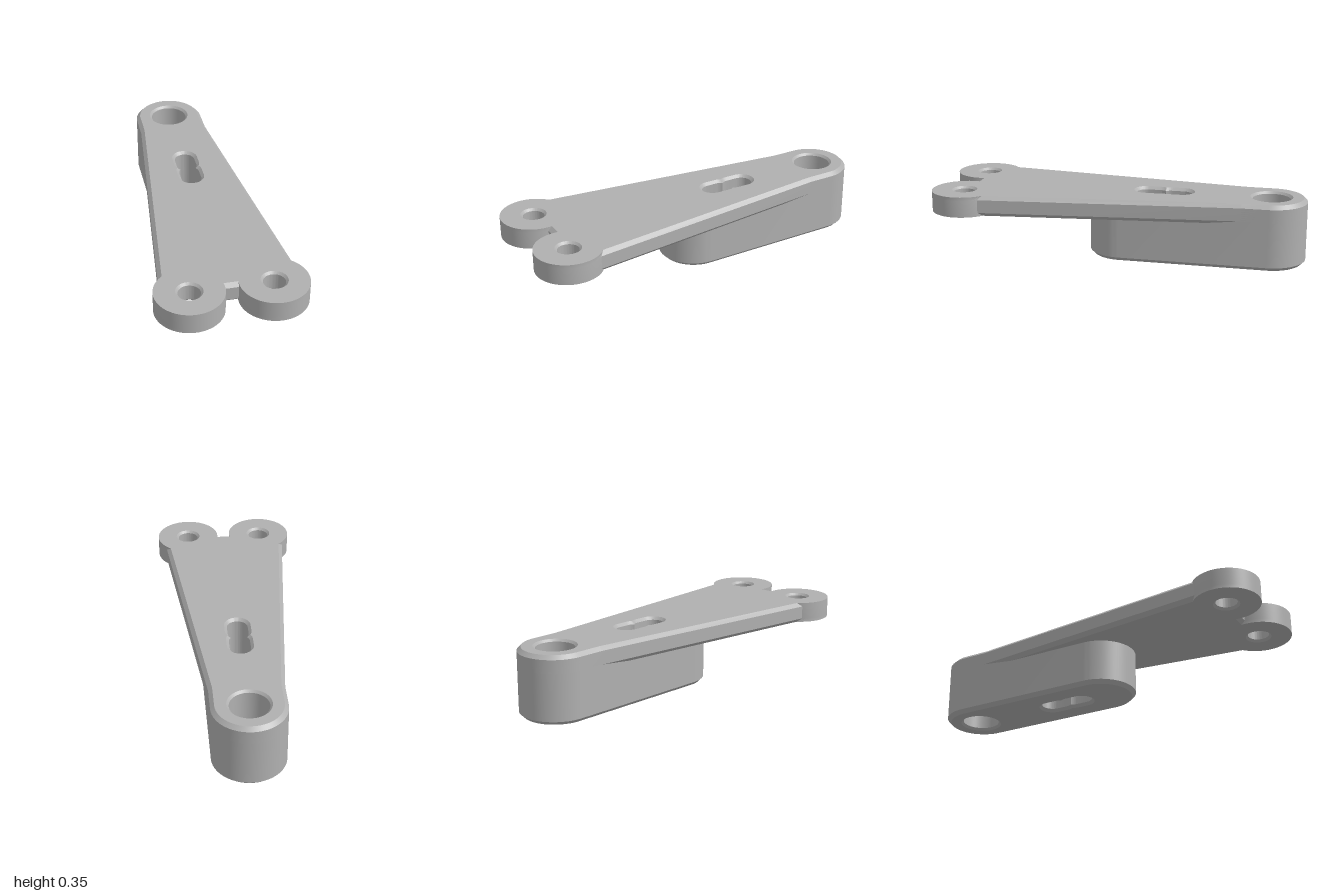
import * as THREE from 'three';
import { toCreasedNormals } from 'three/addons/utils/BufferGeometryUtils.js';

const { ShapeUtils, Vector2 } = THREE;
const PLATE_BOTTOM = 0.245, PLATE_TOP = 0.355, BEVEL = 0.02;
const END_R = 0.19, END_Z = -0.81;

// Points of an arc in the x/z plane
function arc(cx, cz, r, from, to, n = 32) {
  const pts = [];
  for (let i = 0; i <= n; i++) {
    const a = from + (to - from) * i / n;
    pts.push(new Vector2(cx + r * Math.cos(a), cz + r * Math.sin(a)));
  }
  return pts;
}

// Outlines: each takes a chamfer offset d (outer edges shrink, holes grow)
const roundHole = (x, z, r) => d => arc(x, z, r + d, 0, Math.PI * 2, 56).slice(0, -1);

// Two overlapping rounded lobes with a pinched waist
const pinchedSlot = d => {
  const r = 0.055 + d, mid = -0.235, gap = 0.035, far = 0.095;
  const a = Math.acos(gap / r), half = Math.PI / 2;
  const lobe = s => [
    ...arc(0, mid + s * gap, r, -s * half + s * a, 0, 8),
    ...arc(0, mid + s * far, r, 0, s * Math.PI, 28),
    ...arc(0, mid + s * gap, r, s * Math.PI, s * (Math.PI + half - a), 8),
  ];
  return [...lobe(1), ...lobe(-1).reverse()].filter((p, i, all) =>
    p.distanceTo(all[(i + 1) % all.length]) > 1e-6);
};

const blockOutline = d => [
  ...arc(0, END_Z, END_R - d, -Math.PI, 0, 40),
  ...arc(0, -0.02, END_R - d, 0, Math.PI, 40),
];

// Tapered arm ending in two round lugs with a notch between them
const LUG = { x: 0.21, z: 0.825, r: 0.175 };
const plateOutline = d => {
  const slope = 0.15 / 1.37, k = Math.hypot(1, slope), kneeZ = -0.67;
  const reach = (END_R - slope * kneeZ - LUG.x + slope * LUG.z) / k - d;
  const start = Math.atan(-slope) - Math.acos(reach / LUG.r);
  const end = Math.PI + Math.asin((d + 0.005) / LUG.r);
  const half = [
    ...arc(0, END_Z, END_R - d, -Math.PI / 2, 0, 20),
    new Vector2(END_R - d, kneeZ),
    ...arc(LUG.x, LUG.z, LUG.r, start, end, 48),
  ];
  const mirrored = half.slice(1).reverse().map(p => new Vector2(-p.x, p.y));
  return [...half, ...mirrored];
};

// Solid from contours (first is the outside, the rest are holes).
// Each contour has an outline and wall levels [height, offset].
function chamferedSolid(contours, caps) {
  const pos = [];
  const put = (p, y) => pos.push(p.x, y, p.y);
  const ring = (c, i, d) => {
    const pts = c.outline(d);
    return ShapeUtils.isClockWise(pts) === (i > 0) ? pts : pts.reverse();
  };
  contours.forEach((c, i) => {
    for (let l = 0; l + 1 < c.levels.length; l++) {
      const [y0, d0] = c.levels[l], [y1, d1] = c.levels[l + 1];
      const lo = ring(c, i, d0), hi = ring(c, i, d1);
      lo.forEach((p, j) => {
        const n = (j + 1) % lo.length;
        put(p, y0); put(hi[j], y1); put(lo[n], y0);
        put(lo[n], y0); put(hi[j], y1); put(hi[n], y1);
      });
    }
  });
  for (const { y, up } of caps) {
    const rings = contours.map((c, i) => ring(c, i, c.levels.at(up ? -1 : 0)[1]));
    const all = rings.flat();
    for (const t of ShapeUtils.triangulateShape(rings[0], rings.slice(1))) {
      const tri = t.map(i => all[i]);
      if ((ShapeUtils.area(tri) > 0) === up) tri.reverse();
      tri.forEach(p => put(p, y));
    }
  }
  const geo = new THREE.BufferGeometry();
  geo.setAttribute('position', new THREE.Float32BufferAttribute(pos, 3));
  return toCreasedNormals(geo, 0.4);
}

export function createModel() {
  const group = new THREE.Group();
  const metal = new THREE.MeshStandardMaterial({ color: 0xb0b0b0 });
  metal.name = 'plain grey';
  const add = (name, geo) => {
    const mesh = new THREE.Mesh(geo, metal);
    mesh.name = name;
    group.add(mesh);
  };

  const boreHole = roundHole(0, END_Z, 0.1);
  const blockTop = PLATE_TOP - BEVEL;

  // Lever plate, chamfered along the arm and notch, with four openings
  const lugLevels = [[PLATE_BOTTOM, 0.012], [PLATE_BOTTOM + 0.012, 0],
    [PLATE_TOP - 0.012, 0], [PLATE_TOP, 0.012]];
  const throughLevels = c => [[blockTop, 0], [PLATE_TOP - c, 0], [PLATE_TOP, c]];
  add('leverPlate', chamferedSolid([
    { outline: plateOutline, levels: [[PLATE_BOTTOM, BEVEL], [PLATE_BOTTOM + BEVEL, 0],
      [blockTop, 0], [PLATE_TOP, BEVEL]] },
    { outline: boreHole, levels: throughLevels(0.012) },
    { outline: pinchedSlot, levels: throughLevels(0.015) },
    ...[1, -1].map(s => ({ outline: roundHole(s * LUG.x, LUG.z, 0.056), levels: lugLevels })),
  ], [{ y: PLATE_BOTTOM, up: false }, { y: PLATE_TOP, up: true }]));

  // Rounded block below, its walls running up into the plate
  const blockLevels = c => [[0, c], [c, 0], [blockTop, 0]];
  add('mountingBlock', chamferedSolid([
    { outline: blockOutline, levels: blockLevels(BEVEL) },
    { outline: boreHole, levels: blockLevels(0.012) },
    { outline: pinchedSlot, levels: blockLevels(0.015) },
  ], [{ y: 0, up: false }]));

  return group;
}
